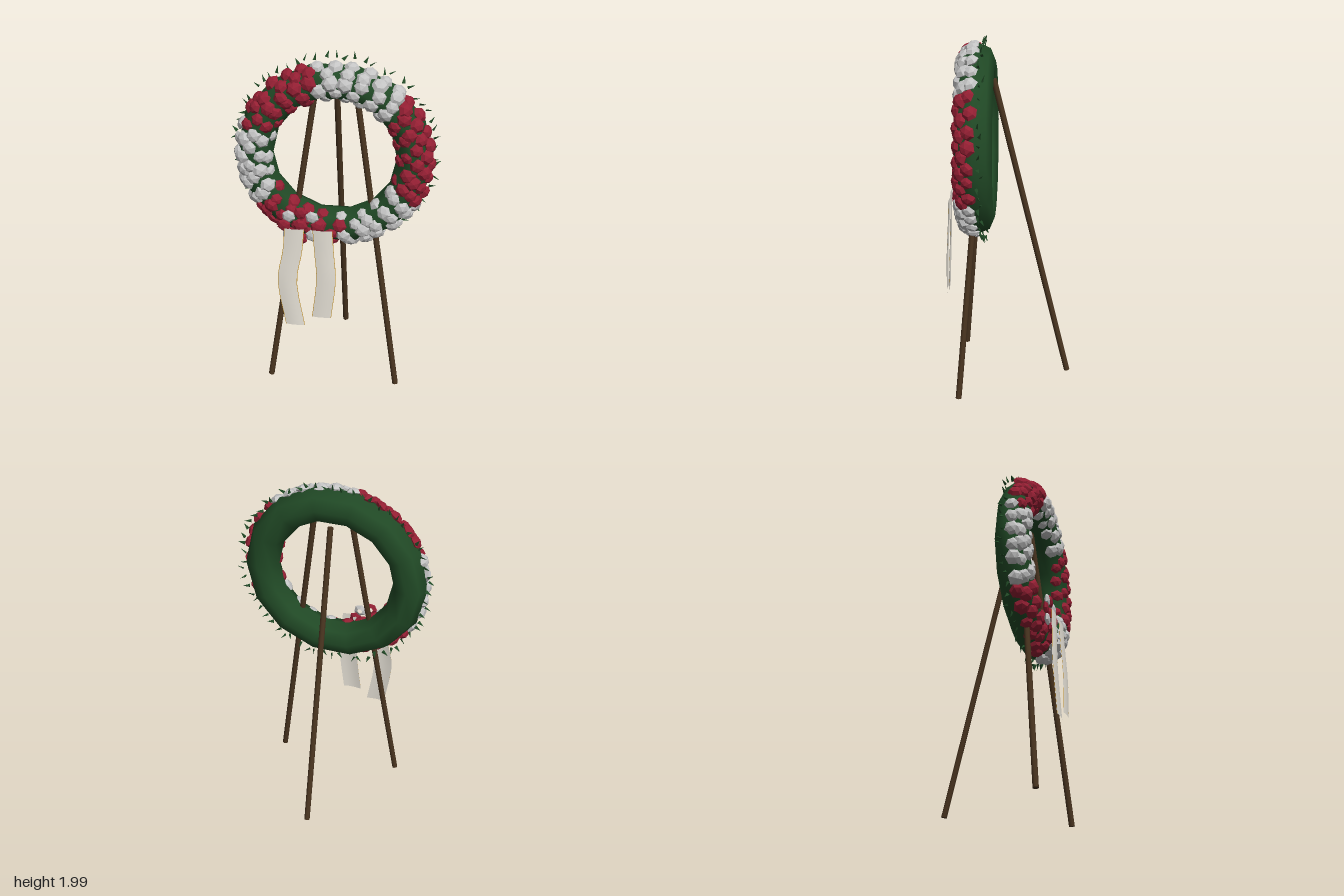
import * as THREE from 'three';
import { mergeGeometries } from 'three/addons/utils/BufferGeometryUtils.js';

const V = (x, y, z) => new THREE.Vector3(x, y, z);
const UP = V(0, 1, 0);

function paint(name, color, extra = {}) {
  const m = new THREE.MeshStandardMaterial({ color, ...extra });
  m.name = name;
  return m;
}

export function createModel() {
  const group = new THREE.Group();
  const red = paint('red petals', 0x941f33);
  const white = paint('white petals', 0xc4c4c4);
  const green = paint('evergreen', 0x214a26);
  const wood = paint('dark wood', 0x4a3520);
  const silk = paint('cream silk', 0xece7dc, { side: THREE.DoubleSide });
  const gold = paint('gold trim', 0xc8962e, { side: THREE.DoubleSide });

  let seed = 7;
  const rand = () => (seed = (seed * 16807) % 2147483647) / 2147483647;
  const jitter = (a) => (rand() - 0.5) * 2 * a;

  const add = (name, geometry, material) => {
    const mesh = new THREE.Mesh(geometry, material);
    mesh.name = name;
    group.add(mesh);
    return mesh;
  };

  // Wreath body: a coarse ring standing upright
  const CY = 1.42, CZ = 0.17, R = 0.43, TUBE = 0.098;
  add('wreathRing', new THREE.TorusGeometry(R, TUBE, 8, 14), green).position.set(0, CY, CZ);

  // Faceted rosebud, pointing along +y
  const bud = new THREE.LatheGeometry([
    new THREE.Vector2(0.018, -0.025), new THREE.Vector2(0.045, 0),
    new THREE.Vector2(0.031, 0.02), new THREE.Vector2(0, 0.03),
  ], 6).toNonIndexed();
  bud.computeVertexNormals();

  const place = (geo, position, direction, scale, spin) => {
    const q = new THREE.Quaternion().setFromUnitVectors(UP, direction.clone().normalize());
    q.multiply(new THREE.Quaternion().setFromAxisAngle(UP, spin));
    return geo.clone().applyMatrix4(new THREE.Matrix4().compose(position, q, scale));
  };

  // Point and outward normal on the ring: a runs round the wreath, t round the tube
  const onRing = (a, t, r) => {
    const n = V(Math.cos(a) * Math.cos(t), Math.sin(a) * Math.cos(t), Math.sin(t));
    const p = V(Math.cos(a) * R, CY + Math.sin(a) * R, CZ).addScaledVector(n, r);
    return { p, n };
  };

  // Rows of flowers over the front, in alternating red and white sectors
  const isRed = (deg) => {
    const d = (deg + 720) % 360;
    return d < 45 || (d > 104 && d < 160) || (d > 212 && d < 276) || d > 332;
  };
  const flowers = { red: [], white: [] };
  const rows = [[14, 36], [46, 33], [80, 31], [114, 27], [148, 22]];
  rows.forEach(([tubeDeg, count], row) => {
    for (let i = 0; i < count; i++) {
      const deg = ((i + (row % 2) / 2 + jitter(0.15)) / count) * 360;
      const { p, n } = onRing(deg * Math.PI / 180, (tubeDeg + jitter(6)) * Math.PI / 180, 0.088);
      n.add(V(jitter(0.25), jitter(0.25), jitter(0.25)));
      const s = 0.95 + jitter(0.12);
      flowers[isRed(deg) ? 'red' : 'white'].push(place(bud, p, n, V(s, s, s), rand() * 6));
    }
  });
  add('redFlowers', mergeGeometries(flowers.red), red);
  add('whiteFlowers', mergeGeometries(flowers.white), white);

  // Flat rosette above the ribbons
  const rosette = { red: [], white: [] };
  const flat = (x, y, kind, s) => rosette[kind].push(
    place(bud, V(x, y, 0.31), V(0, 0, 1), V(s, 0.5, s), rand() * 6));
  flat(-0.17, 1.045, 'red', 0.9);
  for (let i = 0; i < 8; i++) {
    const a = i * Math.PI / 4;
    flat(-0.17 + 0.09 * Math.cos(a), 1.045 + 0.08 * Math.sin(a), i % 2 ? 'white' : 'red', 0.85);
  }
  add('rosetteRed', mergeGeometries(rosette.red), red);
  add('rosetteWhite', mergeGeometries(rosette.white), white);

  // Small leaf tips bristling from the rim
  const tip = new THREE.ConeGeometry(0.012, 0.04, 3).toNonIndexed();
  tip.computeVertexNormals();
  const tips = [];
  for (let i = 0; i < 64; i++) {
    const a = (i + jitter(0.3)) / 64 * Math.PI * 2;
    const { p, n } = onRing(a, -0.3 + jitter(0.12), 0.125 + jitter(0.014));
    n.add(V(-Math.sin(a), Math.cos(a), 0).multiplyScalar(jitter(0.9)));
    tips.push(place(tip, p, n, V(1, 1, 0.5), rand() * 6));
  }
  add('leafTips', mergeGeometries(tips), green);

  // Easel legs
  const leg = (name, from, to) => {
    const axis = to.clone().sub(from);
    const geo = new THREE.CylinderGeometry(0.0165, 0.0165, axis.length(), 8);
    const mesh = add(name, geo, wood);
    mesh.position.copy(from).add(to).multiplyScalar(0.5);
    mesh.quaternion.setFromUnitVectors(UP, axis.normalize());
  };
  leg('leftFrontLeg', V(0.365, 0.003, 0.27), V(0.11, 1.76, 0.125));
  leg('rightFrontLeg', V(-0.365, 0.003, 0.27), V(-0.11, 1.76, 0.125));
  leg('backLeg', V(0, 0.005, -0.345), V(0, 1.76, 0.08));

  // Hanging ribbon swept down a bowed centre line, between side offsets u0 and u1
  const strip = (path, u0, u1, lift) => {
    const curve = new THREE.CatmullRomCurve3(path);
    const geo = new THREE.PlaneGeometry(1, 1, 4, 10);
    const pos = geo.attributes.position;
    for (let i = 0; i < pos.count; i++) {
      const u = u0 + (u1 - u0) * (pos.getX(i) + 0.5);
      const c = curve.getPoint(0.5 - pos.getY(i));
      const bulge = 0.006 * (1 - (u / 0.054) ** 2);
      pos.setXYZ(i, c.x + u, c.y, c.z + bulge + lift);
    }
    geo.computeVertexNormals();
    return geo;
  };
  const ribbon = (name, path) => {
    add(name, strip(path, -0.054, 0.054, 0), silk);
    add(name + 'Trim', mergeGeometries([
      strip(path, -0.054, -0.051, 0.001), strip(path, 0.051, 0.054, 0.001)]), gold);
  };
  ribbon('rightRibbon', [V(-0.2, 1.04, 0.338), V(-0.212, 0.9, 0.342),
    V(-0.242, 0.72, 0.35), V(-0.2, 0.43, 0.358)]);
  ribbon('leftRibbon', [V(-0.046, 1.04, 0.338), V(-0.037, 0.9, 0.342),
    V(-0.026, 0.74, 0.35), V(-0.052, 0.49, 0.356)]);

  return group;
}
